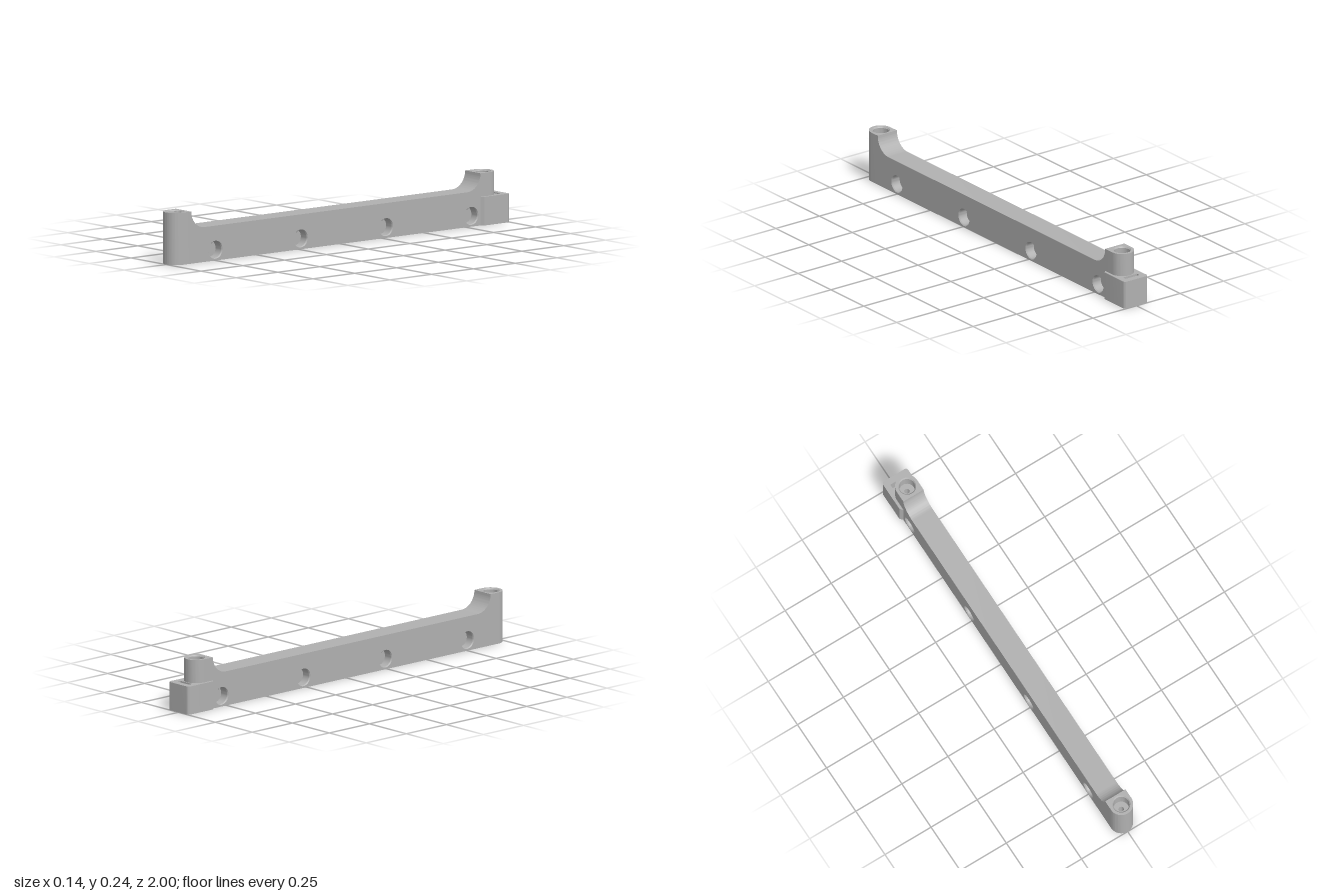
import * as THREE from 'three';
import { toCreasedNormals } from 'three/addons/utils/BufferGeometryUtils.js';

const HALF = 0.055, TOP = 0.242, BLOCK_TOP = 0.133;
const FRONT_Z = 0.895, REAR_Z = -0.835;       // where the bar meets its end posts
const FRONT_BORE = 0.945, REAR_BORE = -0.89;  // vertical bore centres
const RIM = 0.042;

export function createModel() {
  const group = new THREE.Group();
  const grey = new THREE.MeshStandardMaterial({ color: 0xb0b0b0 });
  grey.name = 'grey plastic';

  const add = (name, geometry) => {
    const mesh = new THREE.Mesh(toCreasedNormals(geometry, 0.5), grey);
    mesh.name = name;
    group.add(mesh);
    return mesh;
  };
  const circle = (x, y, r) => new THREE.Path().absarc(x, y, r, 0, Math.PI * 2);
  const extrude = (shape, depth) =>
    new THREE.ExtrudeGeometry(shape, { depth, bevelEnabled: false, curveSegments: 16 });
  const lathe = (points) =>
    new THREE.LatheGeometry(points.map(([r, y]) => new THREE.Vector2(r, y)), 32);
  // Plan shapes use (x, -z) and rise from y0 to y1
  const upright = (name, shape, y0, y1) =>
    add(name, extrude(shape, y1 - y0).rotateX(-Math.PI / 2).translate(0, y0, 0));

  // Main bar: side profile with concave fillets up to both posts
  const R = 0.08;
  const side = new THREE.Shape();
  side.moveTo(REAR_Z, 0);
  side.lineTo(FRONT_Z, 0);
  side.lineTo(FRONT_Z, TOP);
  side.absarc(FRONT_Z - R, TOP, R, 0, -Math.PI / 2, true);
  side.absarc(REAR_Z + R, TOP, R, -Math.PI / 2, -Math.PI, true);
  side.lineTo(REAR_Z, 0);
  const pocketZ = [0.75, 0.24, -0.27, -0.78];
  for (const z of pocketZ) side.holes.push(circle(z, 0.05, RIM));
  add('bar', extrude(side, HALF * 2).translate(0, 0, -HALF).rotateY(-Math.PI / 2));

  // Blind chamfered pockets on both sides of the bar
  for (const z of pocketZ) {
    for (const s of [1, -1]) {
      const cup = lathe([[RIM, 0], [0.038, -0.005], [0.038, -0.045], [0, -0.045]]);
      cup.rotateZ(-s * Math.PI / 2).translate(s * HALF, 0.05, z);
      add('sidePocket', cup);
    }
  }

  // Front post: D-shaped with a rounded front
  const front = new THREE.Shape();
  front.moveTo(HALF, -FRONT_Z);
  front.lineTo(-HALF, -FRONT_Z);
  front.lineTo(-HALF, -FRONT_BORE);
  front.absarc(0, -FRONT_BORE, HALF, Math.PI, Math.PI * 2, false);
  front.lineTo(HALF, -FRONT_Z);
  front.holes.push(circle(0, -FRONT_BORE, RIM));
  upright('frontPost', front, 0, TOP);

  // Rear post: the same form, standing on the rear block
  const rear = new THREE.Shape();
  rear.moveTo(-HALF, -REAR_Z);
  rear.lineTo(HALF, -REAR_Z);
  rear.lineTo(HALF, -REAR_BORE);
  rear.absarc(0, -REAR_BORE, HALF, 0, Math.PI, false);
  rear.lineTo(-HALF, -REAR_Z);
  rear.holes.push(circle(0, -REAR_BORE, RIM));
  upright('rearPost', rear, BLOCK_TOP, TOP);

  // Rear block: chamfered front corners, rounded back corners, through slot
  const W = 0.068, C = 0.013;
  const block = new THREE.Shape();
  block.moveTo(-W + C, -REAR_Z);
  block.lineTo(W - C, -REAR_Z);
  block.lineTo(W, -REAR_Z + C);
  block.lineTo(W, 1 - C);
  block.absarc(W - C, 1 - C, C, 0, Math.PI / 2, false);
  block.absarc(-W + C, 1 - C, C, Math.PI / 2, Math.PI, false);
  block.lineTo(-W, -REAR_Z + C);
  block.lineTo(-W + C, -REAR_Z);
  const slot = new THREE.Path();
  slot.moveTo(-0.04, 0.95);
  slot.lineTo(-0.04, 0.97);
  slot.lineTo(0.04, 0.97);
  slot.lineTo(0.04, 0.95);
  slot.lineTo(-0.04, 0.95);
  block.holes.push(circle(0, -REAR_BORE, RIM), slot);
  upright('rearBlock', block, 0, BLOCK_TOP);

  // Vertical bores: counterbored from both ends with a thin hole between
  for (const z of [FRONT_BORE, REAR_BORE]) {
    const r = 0.037, depth = 0.07, pin = 0.012;
    add('verticalBore', lathe([
      [RIM, TOP], [r, TOP - 0.006], [r, TOP - depth], [pin, TOP - depth],
      [pin, depth], [r, depth], [r, 0.006], [RIM, 0],
    ]).translate(0, 0, z));
  }
  return group;
}
